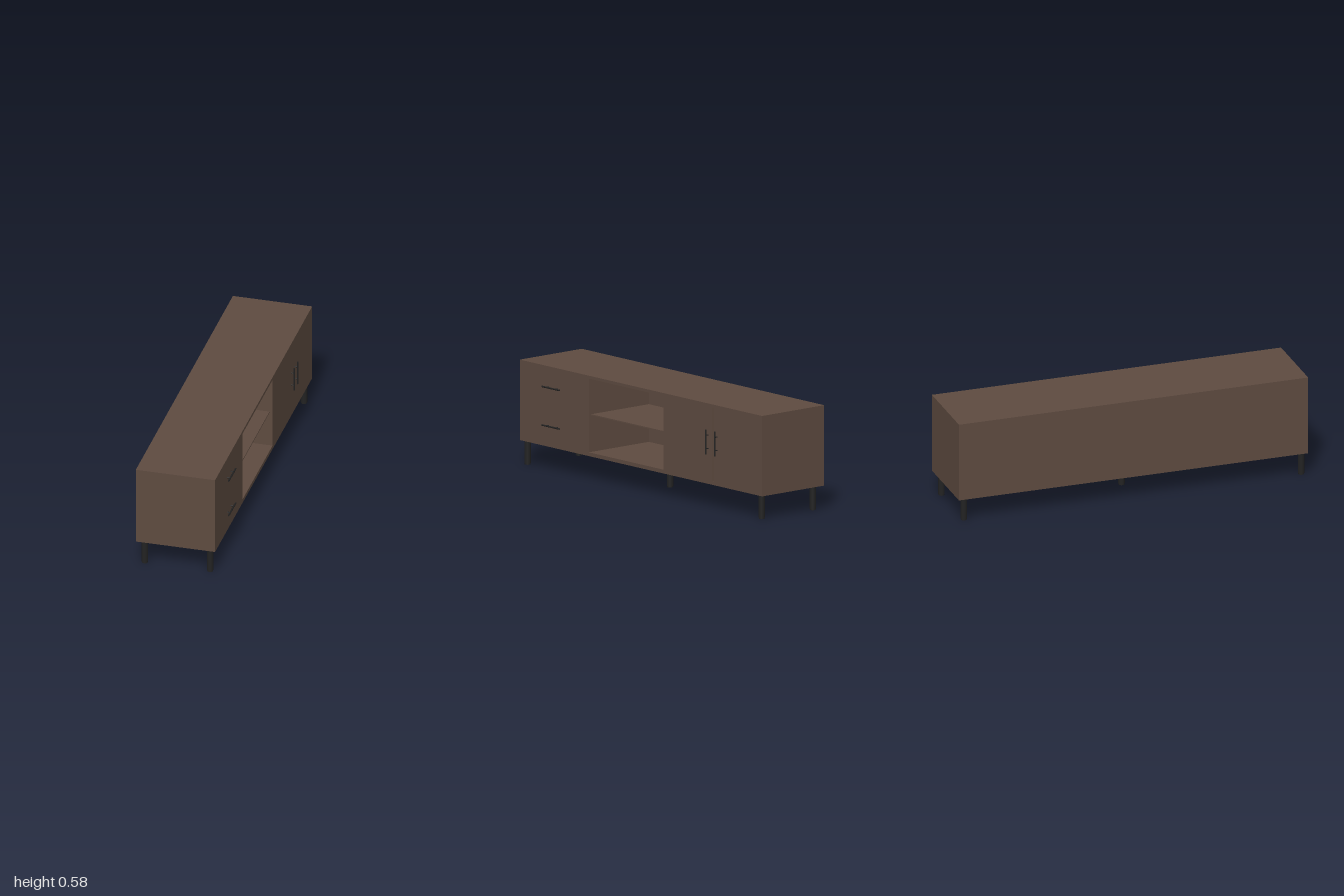
import * as THREE from 'three';

const BACK = -0.235, FRONT = 0.209, BOTTOM = 0.134, TOP = 0.578;
const NICHE = { z0: -0.185, z1: 0.43, y0: 0.155, y1: 0.562 };
const GAP = { z0: -0.598, z1: -0.592, y0: 0.155, y1: 0.562 };

const wood = new THREE.MeshStandardMaterial({ color: 0x5e4b40 });
wood.name = 'dark walnut';
const black = new THREE.MeshStandardMaterial({ color: 0x222222 });
black.name = 'black metal';

function add(parent, name, geometry, material, x = 0, y = 0, z = 0) {
  const mesh = new THREE.Mesh(geometry, material);
  mesh.name = name;
  mesh.position.set(x, y, z);
  parent.add(mesh);
  return mesh;
}

// Rectangle in the (-z, y) plane
function rect(target, { z0, z1, y0, y1 }) {
  target.moveTo(-z1, y0);
  target.lineTo(-z0, y0);
  target.lineTo(-z0, y1);
  target.lineTo(-z1, y1);
  target.closePath();
  return target;
}

// Full-size slab between two x positions, with rectangular openings
function slab(x0, x1, openings) {
  const shape = rect(new THREE.Shape(), { z0: -1, z1: 1, y0: BOTTOM, y1: TOP });
  openings.forEach((o) => shape.holes.push(rect(new THREE.Path(), o)));
  const geometry = new THREE.ExtrudeGeometry(shape, { depth: x1 - x0, bevelEnabled: false });
  return geometry.rotateY(Math.PI / 2).translate(x0, 0, 0);
}

// Bar along z with two posts reaching back to the cabinet
function makeHandle(name, length) {
  const handle = new THREE.Group();
  handle.name = name;
  add(handle, 'handleBar', new THREE.CylinderGeometry(0.0045, 0.0045, length, 16).rotateX(Math.PI / 2), black);
  for (const z of [-0.037, 0.037]) {
    const post = new THREE.CylinderGeometry(0.003, 0.003, 0.018, 12).rotateZ(Math.PI / 2);
    add(handle, 'handlePost', post, black, -0.009, 0, z);
  }
  return handle;
}

export function createModel() {
  const model = new THREE.Group();
  model.name = 'mediaCabinet';

  // Cabinet carcass: back board, hollow middle, front with niche and door gap
  add(model, 'backBoard', slab(BACK, BACK + 0.015, []), wood);
  add(model, 'carcass', slab(BACK + 0.015, FRONT - 0.018, [NICHE]), wood);
  add(model, 'frontPanel', slab(FRONT - 0.018, FRONT, [NICHE, GAP]), wood);

  // Thin shelf, set back a little inside the niche
  const shelfFront = FRONT - 0.017, shelfBack = BACK + 0.015;
  add(model, 'shelf',
    new THREE.BoxGeometry(shelfFront - shelfBack, 0.006, NICHE.z1 - NICHE.z0), wood,
    (shelfFront + shelfBack) / 2, 0.36, (NICHE.z0 + NICHE.z1) / 2);

  // Drawer handles
  for (const y of [0.465, 0.252]) {
    const handle = makeHandle('drawerHandle', 0.145);
    handle.position.set(0.229, y, 0.722);
    model.add(handle);
  }

  // Door handles
  for (const z of [-0.557, -0.631]) {
    const handle = makeHandle('doorHandle', 0.136);
    handle.rotation.x = Math.PI / 2;
    handle.position.set(0.229, 0.368, z);
    model.add(handle);
  }

  // Four corner legs and one in the middle, each with a narrower foot
  const legs = [[0.175, 0.975], [-0.191, 0.975], [0.175, -0.957], [-0.191, -0.957], [-0.008, 0.01]];
  for (const [x, z] of legs) {
    add(model, 'leg', new THREE.CylinderGeometry(0.018, 0.018, BOTTOM - 0.007, 24), black, x, (BOTTOM + 0.007) / 2, z);
    add(model, 'foot', new THREE.CylinderGeometry(0.0155, 0.0155, 0.007, 24), black, x, 0.0035, z);
  }

  return model;
}
